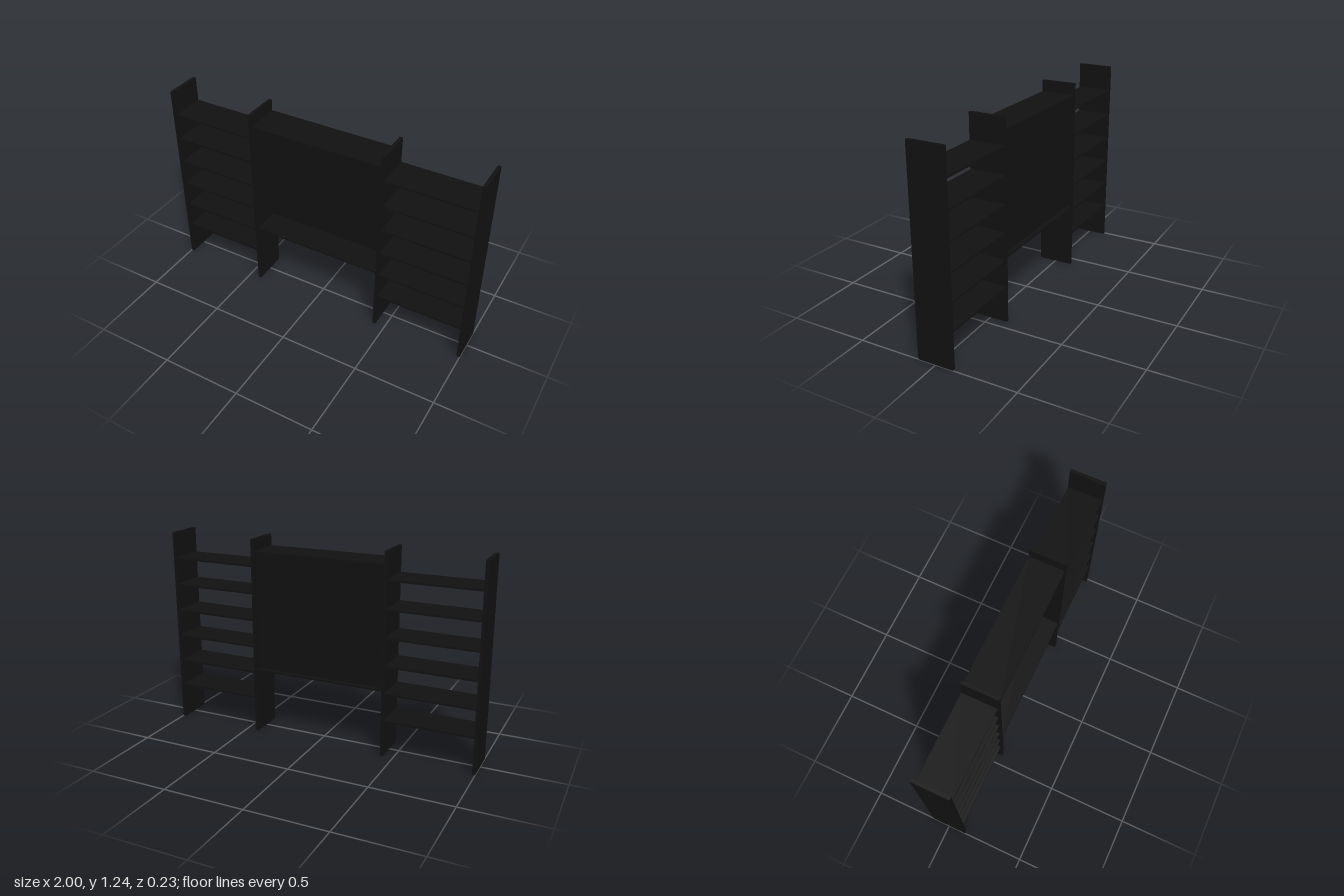
import * as THREE from 'three';

export function createModel() {
  const group = new THREE.Group();
  const material = new THREE.MeshStandardMaterial({ color: 0x111111 });

  // board spanning x0..x1, y0..y1, z0..z1
  function board(name, x0, x1, y0, y1, z0, z1) {
    const mesh = new THREE.Mesh(new THREE.BoxGeometry(x1 - x0, y1 - y0, z1 - z0), material);
    mesh.position.set((x0 + x1) / 2, (y0 + y1) / 2, (z0 + z1) / 2);
    mesh.name = name;
    group.add(mesh);
  }

  const back = -0.11, front = 0.113, height = 1.242;

  // four full-height uprights
  for (const x of [-0.99, -0.428, 0.428, 0.99])
    board('upright', x - 0.01, x + 0.01, 0, height, back, front);

  // six shelves in each side bay, the right bay set slightly back
  for (let i = 0; i < 6; i++) {
    const y = 0.228 + i * 0.17;
    board('leftShelf', 0.438, 0.98, y - 0.006, y + 0.006, back, front - 0.004);
    board('rightShelf', -0.98, -0.438, y - 0.006, y + 0.006, back - 0.003, front - 0.009);
  }

  // centre cabinet: top, bottom and recessed back panel
  board('cabinetTop', -0.418, 0.418, 1.158, 1.17, back, front - 0.002);
  board('cabinetBottom', -0.418, 0.418, 0.41, 0.422, back, front - 0.002);
  board('backPanel', -0.418, 0.418, 0.422, 1.158, -0.08, -0.068);

  return group;
}
